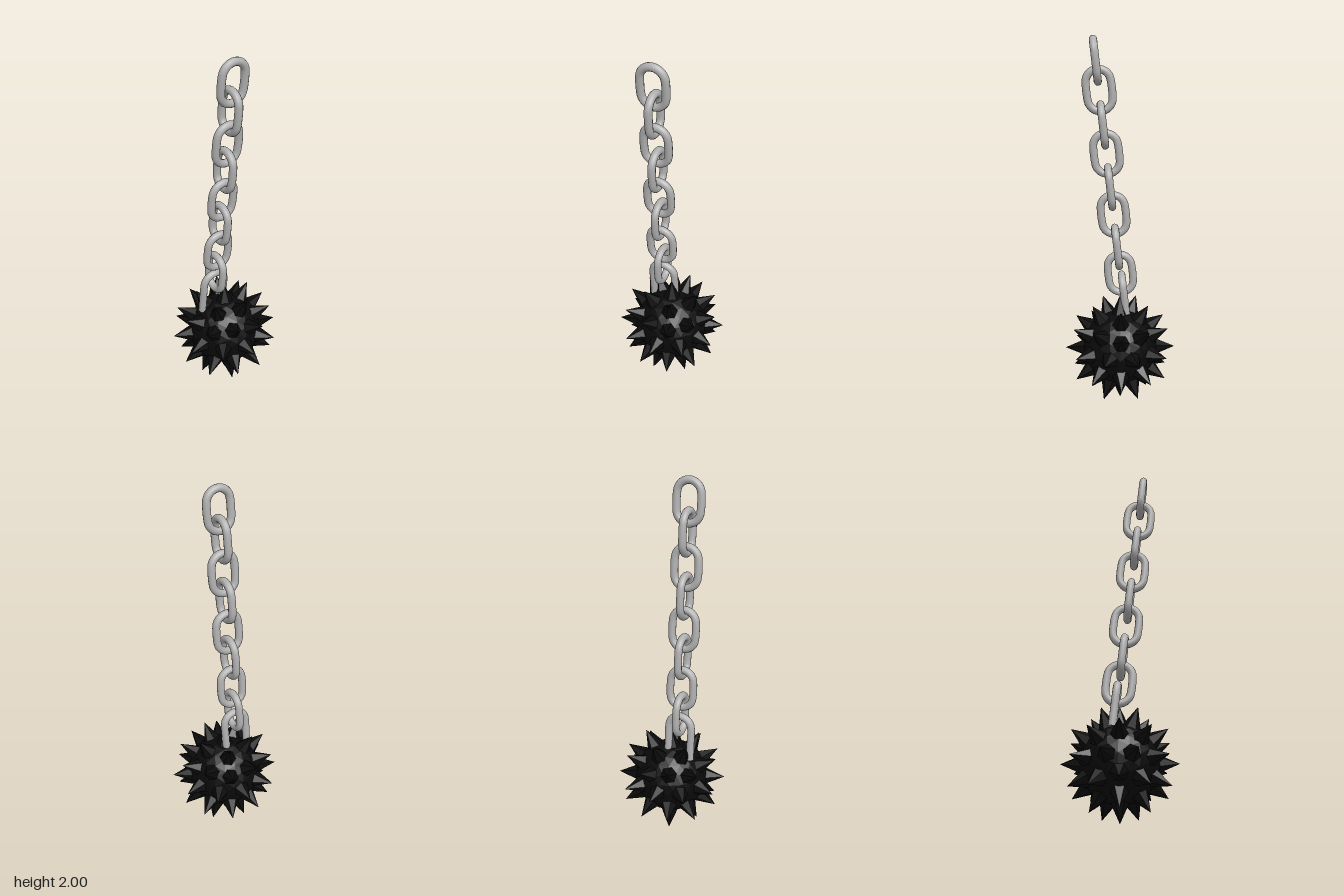
import * as THREE from 'three';

const steel = new THREE.MeshStandardMaterial({ color: 0xb0b0b0 });
steel.name = 'grey steel';
const iron = new THREE.MeshStandardMaterial({ color: 0x0a0a0a, flatShading: true });
iron.name = 'black iron';

const ROD = 0.021, HALF_WIDTH = 0.066, HALF_STRAIGHT = 0.043;
const TIP = 0.302, CORE = 0.205;

// Half circle at one end of a link; sign picks the upper or lower end
function bend(sign) {
  const pts = [];
  for (let i = 0; i <= 8; i++) {
    const a = (Math.PI * i) / 8;
    pts.push(new THREE.Vector3(
      sign * HALF_WIDTH * Math.cos(a), sign * (HALF_STRAIGHT + HALF_WIDTH * Math.sin(a)), 0));
  }
  return pts;
}

function tube(points, closed) {
  const curve = new THREE.CatmullRomCurve3(points, closed, 'centripetal');
  return new THREE.TubeGeometry(curve, 56, ROD, 12, closed);
}

// Unit direction from elevation and azimuth in degrees
function direction(el, az) {
  const e = THREE.MathUtils.degToRad(el), a = THREE.MathUtils.degToRad(az);
  return new THREE.Vector3(Math.cos(e) * Math.cos(a), Math.sin(e), Math.cos(e) * Math.sin(a));
}

function createBall() {
  const ball = new THREE.Group();
  ball.name = 'spikedBall';
  ball.position.y = TIP;

  const core = new THREE.Mesh(new THREE.IcosahedronGeometry(CORE, 3), iron);
  core.name = 'ballCore';
  ball.add(core);

  // Spikes spread evenly: two poles, an equator of ten, three rings of five per half
  const dirs = [direction(90, 0), direction(-90, 0)];
  const start = 12.3;
  for (let k = 0; k < 10; k++) dirs.push(direction(0, start + 18 + 36 * k));
  for (let k = 0; k < 5; k++) {
    const az = start + 72 * k;
    for (const [el, turn] of [[58.28, 0], [31.72, 36], [26.57, 0]]) {
      dirs.push(direction(el, az + turn), direction(-el, az + turn + 36));
    }
  }
  const base = 0.18;
  const cone = new THREE.ConeGeometry(0.054, TIP - base, 6, 1, true);
  cone.translate(0, (TIP + base) / 2, 0);
  const up = new THREE.Vector3(0, 1, 0);
  for (const d of dirs) {
    const spike = new THREE.Mesh(cone, iron);
    spike.name = 'spike';
    spike.quaternion.setFromUnitVectors(up, d);
    ball.add(spike);
  }
  return ball;
}

function createChain() {
  const chain = new THREE.Group();
  chain.name = 'chain';

  const linkGeometry = tube([...bend(1), ...bend(-1)], true);
  // Bottom shackle: open legs sunk into the ball
  const shackleGeometry = tube([
    new THREE.Vector3(HALF_WIDTH, -0.14, 0), new THREE.Vector3(HALF_WIDTH, -0.05, 0),
    ...bend(1),
    new THREE.Vector3(-HALF_WIDTH, -0.05, 0), new THREE.Vector3(-HALF_WIDTH, -0.14, 0),
  ], false);

  // The chain leans, and each link is turned a quarter from the last
  const lean = new THREE.Vector3(0.138, 1.34, 0.057).normalize();
  for (let i = 0; i < 9; i++) {
    const last = i === 8, odd = i % 2 === 1;
    const link = new THREE.Mesh(last ? shackleGeometry : linkGeometry, steel);
    link.name = last ? 'shackle' : 'chainLink';
    const across = odd ? new THREE.Vector3(0.866, 0, 0.5) : new THREE.Vector3(-0.5, 0, 0.866);
    across.addScaledVector(lean, -across.dot(lean)).normalize();
    const depth = new THREE.Vector3().crossVectors(across, lean);
    link.quaternion.setFromRotationMatrix(new THREE.Matrix4().makeBasis(across, lean, depth));
    const y = last ? 0.595 : 1.87 - 0.1675 * i + (odd ? 0.015 : 0);
    link.position.set(0.09 - 0.0173 * i, y, 0.097 - 0.0072 * i);
    chain.add(link);
  }
  return chain;
}

export function createModel() {
  const model = new THREE.Group();
  model.name = 'spikedBallOnChain';
  model.add(createBall(), createChain());
  return model;
}
